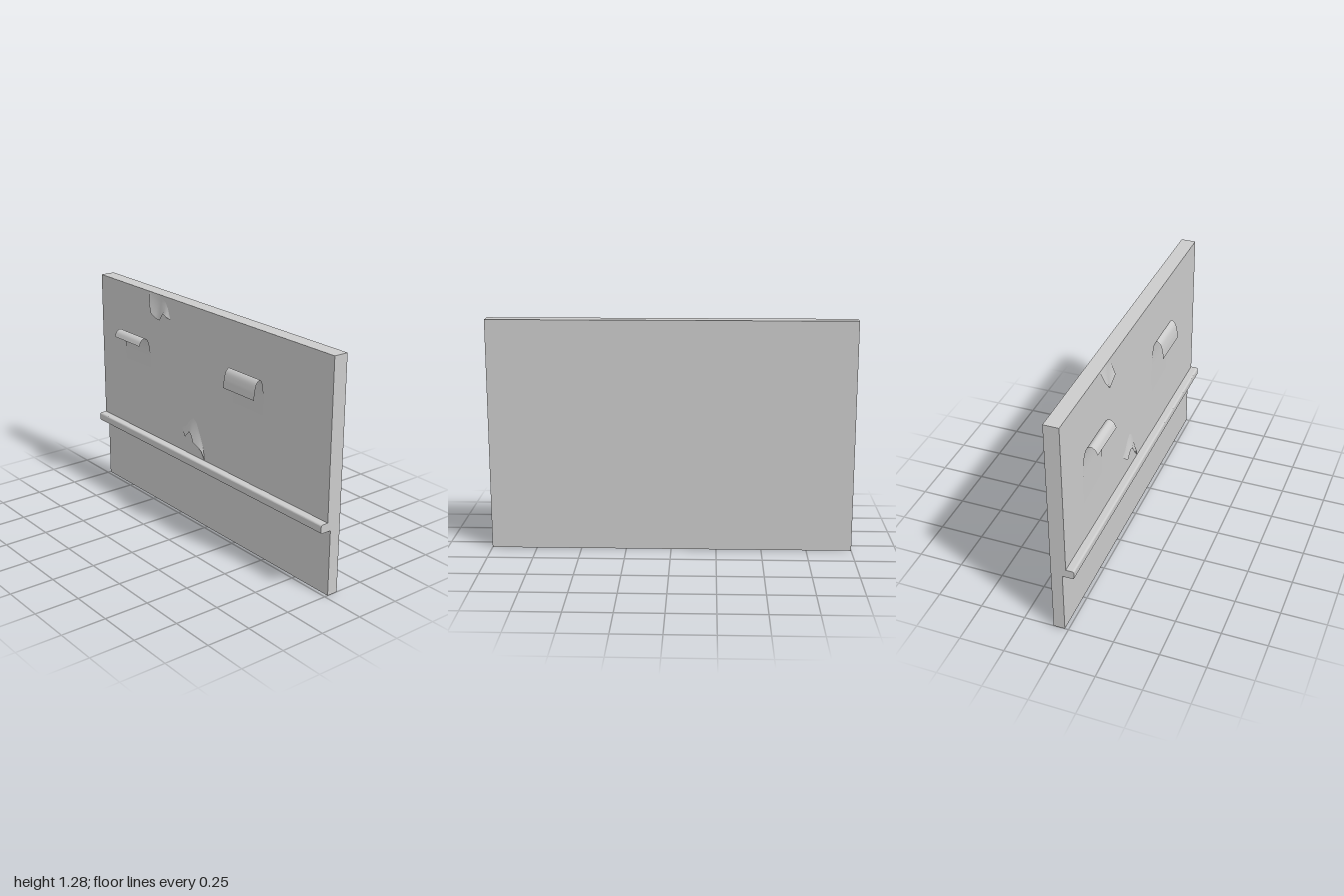
import * as THREE from 'three';

const BACK = -0.083;
const wallMaterial = new THREE.MeshStandardMaterial({ color: 0xcccccc });
const paperMaterial = new THREE.MeshStandardMaterial({ color: 0xcccccc, side: THREE.DoubleSide });

// Extrudes a (z, y) profile along the full width of the wall
function profileAlongX(name, shape) {
  const geometry = new THREE.ExtrudeGeometry(shape, { depth: 2, bevelEnabled: false, curveSegments: 6 });
  geometry.rotateY(-Math.PI / 2).translate(1, 0, 0);
  const mesh = new THREE.Mesh(geometry, wallMaterial);
  mesh.name = name;
  return mesh;
}

// Paper strip of constant width that follows a (y, z) path up the wall and curls off
function paperStrip(name, x0, x1, path) {
  const steps = 48;
  const curve = new THREE.CatmullRomCurve3(path.map(([y, z]) => new THREE.Vector3(0, y, z)));
  const geometry = new THREE.PlaneGeometry(x1 - x0, 1, 1, steps);
  const pos = geometry.attributes.position;
  for (let i = 0; i < pos.count; i++) {
    const p = curve.getPoint(1 - Math.floor(i / 2) / steps);
    pos.setXYZ(i, pos.getX(i) + (x0 + x1) / 2, p.y, p.z);
  }
  geometry.computeVertexNormals();
  const mesh = new THREE.Mesh(geometry, paperMaterial);
  mesh.name = name;
  return mesh;
}

// Torn flap between its attached root line and its free ragged edge, points are [x, y, z]
function tornFlap(name, root, edge) {
  const rows = 6, cols = edge.length - 1;
  const geometry = new THREE.PlaneGeometry(1, 1, cols, rows);
  const pos = geometry.attributes.position;
  for (let r = 0, i = 0; r <= rows; r++) {
    const t = r / rows;
    for (let c = 0; c <= cols; c++, i++) {
      const a = root[c], b = edge[c];
      pos.setXYZ(i,
        THREE.MathUtils.lerp(a[0], b[0], t),
        THREE.MathUtils.lerp(a[1], b[1], t),
        0.001 + b[2] * Math.pow(t, 1.2));
    }
  }
  geometry.computeVertexNormals();
  const mesh = new THREE.Mesh(geometry, paperMaterial);
  mesh.name = name;
  return mesh;
}

export function createModel() {
  const group = new THREE.Group();
  group.name = 'peelingWall';

  // Wall slab, with the lower part set back
  const slab = new THREE.Shape();
  slab.moveTo(BACK, 0);
  slab.lineTo(-0.02, 0);
  slab.lineTo(-0.02, 0.39);
  slab.lineTo(0, 0.39);
  slab.lineTo(0, 1.283);
  slab.lineTo(BACK, 1.283);
  group.add(profileAlongX('wallPanel', slab));

  // Rail with softened front corners
  const rail = new THREE.Shape();
  rail.moveTo(-0.03, 0.367);
  rail.lineTo(0.034, 0.367);
  rail.quadraticCurveTo(0.044, 0.367, 0.044, 0.377);
  rail.lineTo(0.044, 0.403);
  rail.quadraticCurveTo(0.044, 0.415, 0.032, 0.415);
  rail.lineTo(-0.03, 0.415);
  group.add(profileAlongX('chairRail', rail));

  // Paper strips curling forward at their tops
  group.add(paperStrip('leftPaperCurl', 0.25, 0.5, [
    [0.41, 0.001], [0.8, 0.002], [0.95, 0.006], [1.01, 0.014],
    [1.034, 0.03], [1.02, 0.05], [0.98, 0.063], [0.93, 0.069],
  ]));
  group.add(paperStrip('rightPaperCurl', -0.75, -0.5, [
    [0.41, 0.001], [0.75, 0.002], [0.9, 0.005], [0.96, 0.012],
    [1.0, 0.025], [1.013, 0.045], [1.002, 0.068], [0.973, 0.083],
  ]));

  // Ragged flaps lifting off the wall
  group.add(tornFlap('upperTornFlap',
    [[-0.5, 1.283], [-0.47, 1.283], [-0.45, 1.282], [-0.42, 1.28], [-0.39, 1.27], [-0.35, 1.25], [-0.33, 1.22], [-0.31, 1.17]],
    [[-0.5, 1.27, 0.003], [-0.485, 1.215, 0.018], [-0.455, 1.17, 0.029], [-0.425, 1.147, 0.02],
      [-0.395, 1.138, 0.012], [-0.35, 1.188, 0.022], [-0.33, 1.17, 0.012], [-0.31, 1.16, 0]]));
  group.add(tornFlap('lowerTornFlap',
    [[-0.2, 0.56], [-0.17, 0.57], [-0.13, 0.62], [-0.1, 0.64], [-0.07, 0.62], [-0.04, 0.56], [-0.01, 0.49], [0, 0.43]],
    [[-0.2, 0.54, 0], [-0.16, 0.512, 0.014], [-0.12, 0.555, 0.015], [-0.095, 0.54, 0.02],
      [-0.08, 0.505, 0.02], [-0.04, 0.49, 0.018], [-0.015, 0.47, 0.012], [0, 0.42, 0]]));

  return group;
}
